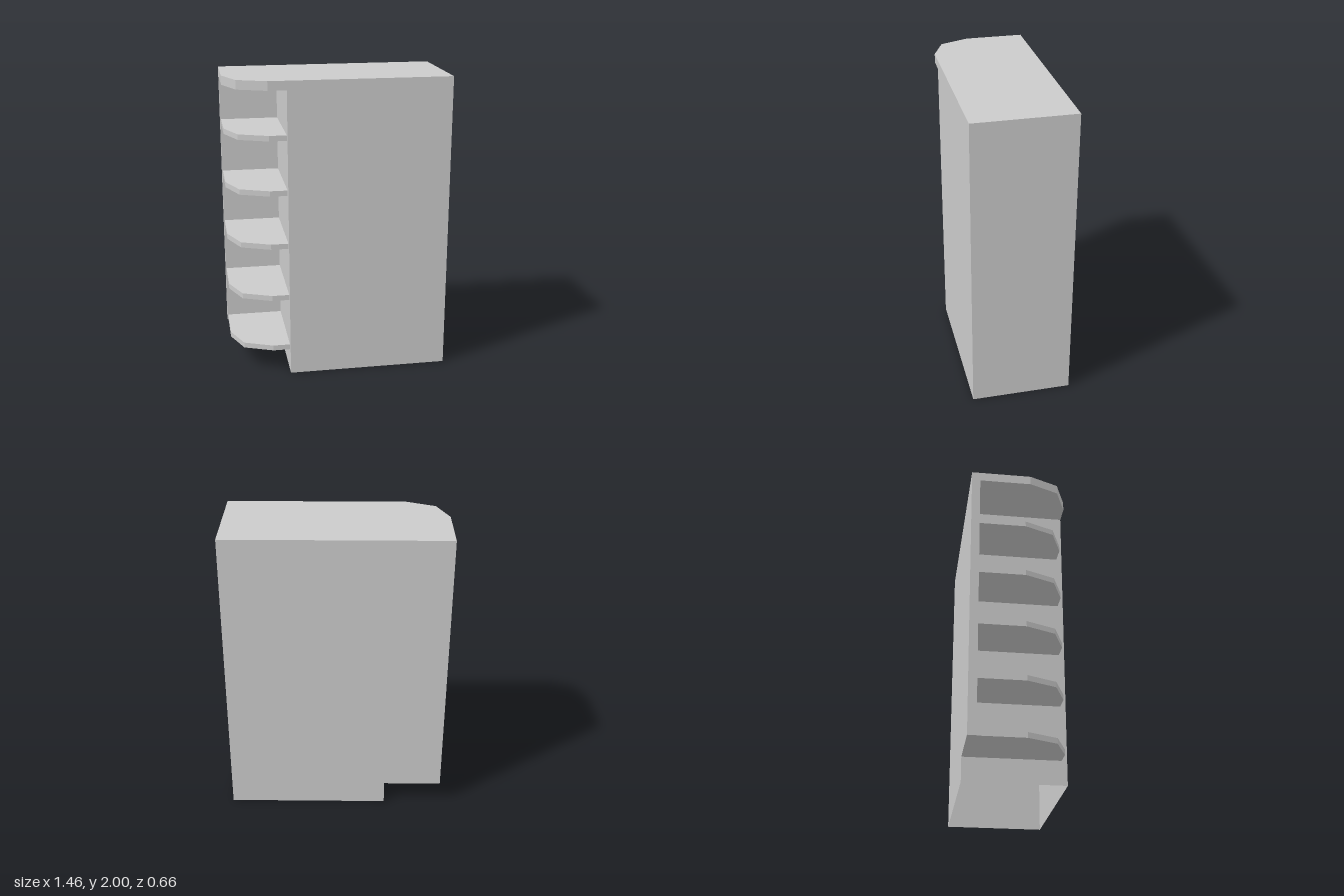
import * as THREE from 'three';

const material = new THREE.MeshStandardMaterial({ color: 0xcccccc, flatShading: true, side: THREE.DoubleSide });

const LEFT = -0.73, RIGHT = 0.73, SIDE = -0.34; // outer ends, and the wall beside the shelves
const BACK = -0.33, FRONT = 0.33;
const SLAB = 0.06, BACK_T = 0.055, SHELF_T = 0.036, SHELF_BOTTOM = 0.16;

function add(parent, name, geometry, x, y, z) {
  const mesh = new THREE.Mesh(geometry, material);
  mesh.name = name;
  mesh.position.set(x, y, z);
  parent.add(mesh);
  return mesh;
}

// Horizontal board whose front -x corner is rounded in two facets
function boardGeometry(x0, x1, z0, z1, thickness) {
  const r = 0.27;
  const shape = new THREE.Shape();
  shape.moveTo(x1, z0);
  shape.lineTo(x1, z1);
  for (let i = 0; i <= 2; i++) {
    const a = (i * Math.PI) / 4;
    shape.lineTo(x0 + r - r * Math.sin(a), z1 - r + r * Math.cos(a));
  }
  shape.lineTo(x0, z0);
  const geometry = new THREE.ExtrudeGeometry(shape, { depth: thickness, bevelEnabled: false });
  return geometry.rotateX(Math.PI / 2); // top face lies at y = 0
}

export function createModel() {
  const model = new THREE.Group();
  model.name = 'cabinetWithEndShelves';

  // Cabinet body: thin walls, open underneath
  const body = new THREE.Group();
  body.name = 'cabinetBody';
  model.add(body);
  const height = 2 - SLAB, width = RIGHT - SIDE, depth = FRONT - BACK;
  const midX = (RIGHT + SIDE) / 2;
  const wall = (name, w, x, z, turn) => {
    add(body, name, new THREE.PlaneGeometry(w, height), x, height / 2, z).rotation.y = turn;
  };
  wall('frontWall', width, midX, FRONT, 0);
  wall('backWall', width, midX, BACK, Math.PI);
  wall('outerSideWall', depth, RIGHT, 0, Math.PI / 2);
  wall('shelfSideWall', depth, SIDE, 0, -Math.PI / 2);

  // Top board across the cabinet and the shelves
  add(model, 'topBoard', boardGeometry(LEFT, RIGHT, BACK, FRONT, SLAB), 0, 2, 0);

  // Panel behind the shelves, ending above the floor
  const panelHeight = 2 - SLAB - SHELF_BOTTOM;
  add(model, 'shelfBackPanel', new THREE.BoxGeometry(SIDE - LEFT, panelHeight, BACK_T),
    (SIDE + LEFT) / 2, SHELF_BOTTOM + panelHeight / 2, BACK + BACK_T / 2);

  // Evenly spaced end shelves, set in slightly from the top board
  const shelf = boardGeometry(LEFT + 0.006, SIDE, BACK + BACK_T, FRONT - 0.035, SHELF_T);
  for (let i = 0; i < 5; i++) {
    add(model, 'endShelf' + (i + 1), shelf, 0, SHELF_BOTTOM + SHELF_T + i * 0.363, 0);
  }

  return model;
}
